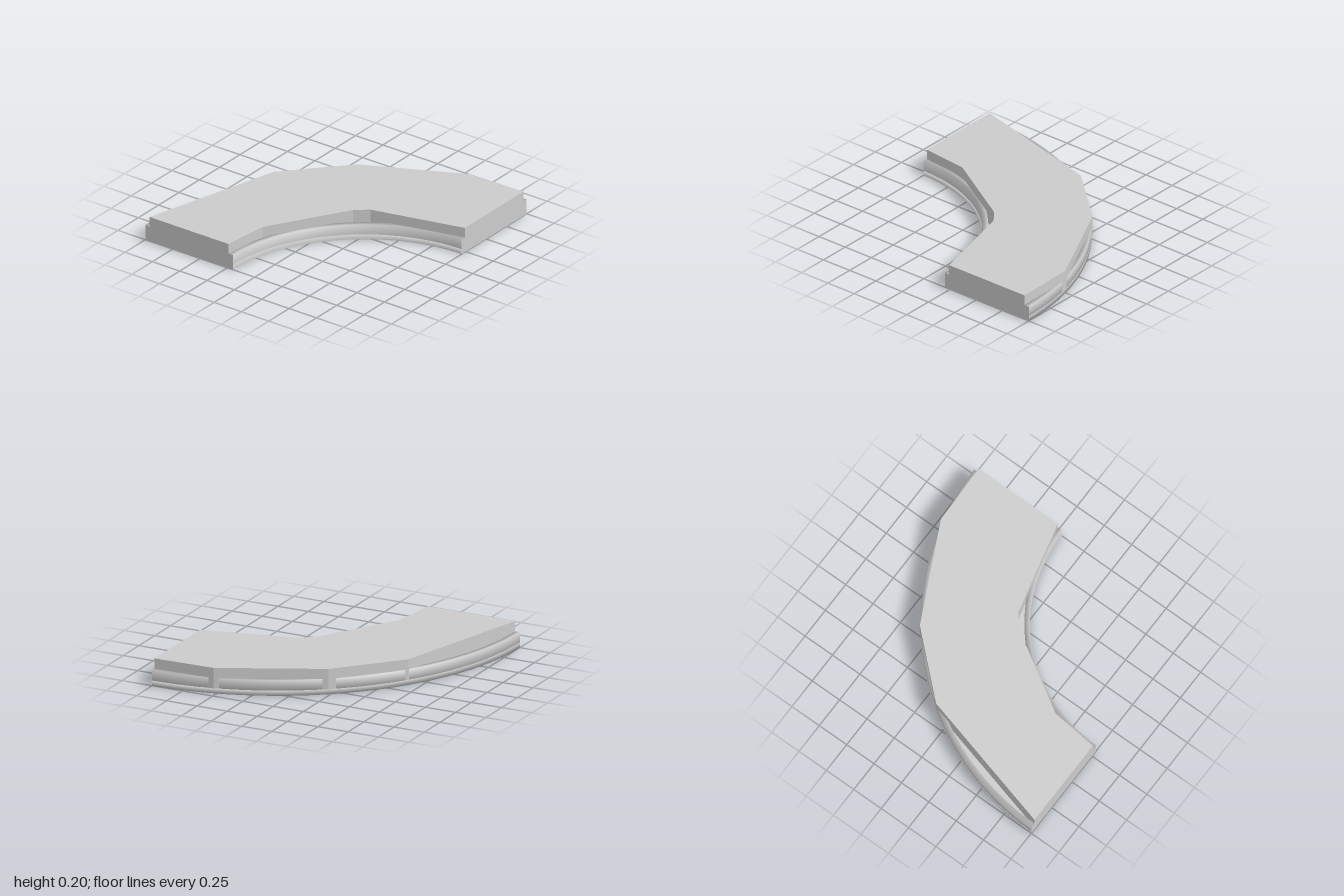
import * as THREE from 'three';

const material = new THREE.MeshStandardMaterial({ color: 0xcccccc, side: THREE.DoubleSide });

// Quarter-turn sweep of a radius/height profile, with a flat cap on each end
function curvedPart(name, profile) {
  const part = new THREE.Group();
  part.name = name;
  part.position.set(-1, 0, 1);
  const points = profile.map(([r, y]) => new THREE.Vector2(r, y));

  const sweep = new THREE.Mesh(
    new THREE.LatheGeometry([...points, points[0]], 48, Math.PI / 2, Math.PI / 2), material);
  sweep.name = name + 'Sweep';
  part.add(sweep);

  const capShape = new THREE.ShapeGeometry(new THREE.Shape(points));
  for (const [side, angle] of [['front', 0], ['right', Math.PI / 2]]) {
    const cap = new THREE.Mesh(capShape, material);
    cap.name = name + (side === 'front' ? 'FrontEnd' : 'RightEnd');
    cap.rotation.y = angle;
    part.add(cap);
  }
  return part;
}

const box = (r0, r1, y0, y1) => [[r0, y0], [r1, y0], [r1, y1], [r0, y1]];

export function createModel() {
  const model = new THREE.Group();
  model.name = 'curvedTrack';

  // Thin curved base with a raised rim along each edge
  model.add(curvedPart('base', box(1.2, 2, 0, 0.04)));
  model.add(curvedPart('innerRim', box(1.2, 1.24, 0.04, 0.12)));
  model.add(curvedPart('outerRim', box(1.96, 2, 0.04, 0.12)));

  // Faceted slab resting on the base, outlined as x, z
  const outline = [
    [-1, -0.24], [-0.63, -0.2], [-0.02, 0.17], [0.06, 0.27], [0.24, 1],
    [0.96, 1], [0.95, 0.52], [0.58, -0.24], [0.12, -0.66], [-1, -0.96],
  ];
  const shape = new THREE.Shape(outline.map(([x, z]) => new THREE.Vector2(x, -z)));
  const geometry = new THREE.ExtrudeGeometry(shape, { depth: 0.16, bevelEnabled: false });
  geometry.rotateX(-Math.PI / 2);
  const slab = new THREE.Mesh(geometry, material);
  slab.name = 'roadSlab';
  slab.position.y = 0.04;
  model.add(slab);

  return model;
}
